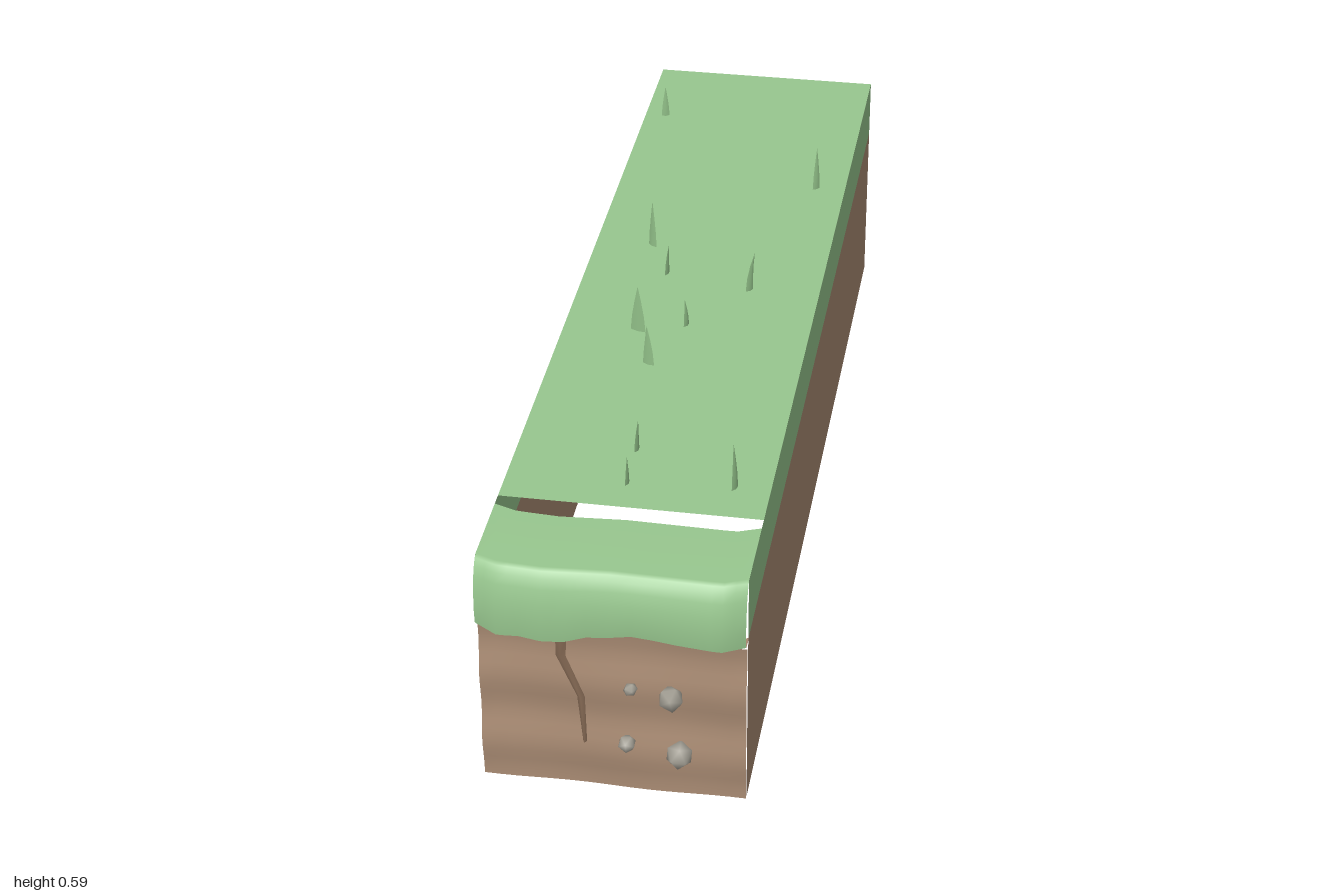
import * as THREE from 'three';
import { mergeVertices } from 'three/addons/utils/BufferGeometryUtils.js';

const W = 0.486, TOP = 0.488, SEAM = 0.362;

const mat = (name, color) => {
  const m = new THREE.MeshStandardMaterial({ color, side: THREE.DoubleSide });
  m.name = name;
  return m;
};

// Piecewise linear lookup in [x, value] pairs
const sample = (pts, x) => {
  for (let i = 1; i < pts.length; i++) {
    const [x0, a] = pts[i - 1], [x1, b] = pts[i];
    if (x <= x1) return a + (b - a) * (x - x0) / (x1 - x0);
  }
  return pts[pts.length - 1][1];
};

// Grid sheet whose vertices are placed by rule(column, row) -> [x, y, z]
function sheet(cols, rows, rule) {
  const g = new THREE.PlaneGeometry(1, 1, cols, rows);
  for (let r = 0; r <= rows; r++)
    for (let c = 0; c <= cols; c++)
      g.attributes.position.setXYZ(r * (cols + 1) + c, ...rule(c, r));
  g.computeVertexNormals();
  return g;
}

export function createModel() {
  const grass = mat('grass green', 0x98c78f);
  const bladeGreen = mat('blade green', 0x90be87);
  const dirt = mat('dirt brown', 0xaa8c74);
  const crackBrown = mat('crack brown', 0x836853);
  const stone = mat('stone grey', 0xa6a297);

  const model = new THREE.Group();
  const add = (name, geometry, material, parent = model) => {
    const m = new THREE.Mesh(geometry, material);
    m.name = name;
    parent.add(m);
    return m;
  };

  // Flat lawn, open behind the front lip
  add('lawn', new THREE.PlaneGeometry(W, 1.765).rotateX(-Math.PI / 2)
    .translate(0, TOP, (0.765 - 1) / 2), grass);

  // Side walls: dirt below, grass band above
  for (const [side, s] of [['left', 1], ['right', -1]]) {
    const wall = (name, y0, y1, m) => add(side + name,
      new THREE.PlaneGeometry(1.95, y1 - y0).rotateY(s * Math.PI / 2)
        .translate(s * W / 2, (y0 + y1) / 2, -0.025), m);
    wall('DirtWall', 0, SEAM, dirt);
    wall('GrassBand', SEAM, TOP, grass);
  }

  // Gently rippled dirt face at the front
  const faceZ = (x, y) => 0.96 + 0.004 * Math.sin(y * 42 - 2) + 0.002 * Math.sin(x * 22 + y * 9);
  add('dirtFace', sheet(16, 16, (c, r) => {
    const x = (c / 16 - 0.5) * W, y = 0.347 * (1 - r / 16);
    return [x, y, faceZ(x, y)];
  }), dirt);

  // Overhanging grass lip with a ragged lower edge
  const edge = [[-0.243, 0.358], [-0.2, 0.347], [-0.16, 0.352], [-0.125, 0.347], [-0.08, 0.348],
    [-0.04, 0.361], [0, 0.363], [0.04, 0.371], [0.08, 0.368], [0.12, 0.363], [0.2, 0.357], [0.243, 0.361]];
  const push = [[-0.243, -0.019], [-0.2, -0.003], [-0.12, 0.002], [0, -0.006], [0.1, -0.004],
    [0.2, -0.002], [0.243, -0.019]];
  // Profile: [z, height as a fraction from lower edge to top]
  const lip = [[0.81, 1], [0.964, 1], [0.972, 0.97], [0.98, 0.89], [0.988, 0.76], [0.994, 0.55],
    [0.998, 0.28], [0.994, 0]];
  const cols = 24;
  const lipX = c => (c / cols - 0.5) * W;
  add('grassLip', sheet(cols, lip.length - 1, (c, r) => {
    const x = lipX(c), y = sample(edge, x);
    return [x, y + (TOP - y) * lip[r][1], lip[r][0] + sample(push, x)];
  }), grass);

  // Soil rim tucked under the lip
  add('lipUnderside', sheet(cols, 1, (c, r) => {
    const x = lipX(c);
    return [x, sample(edge, x) - 0.005 * r, 0.994 - 0.036 * r + sample(push, x)];
  }), dirt);

  // Ridged crack in the dirt: [left, middle, right, y]
  const crack = [[-0.1, -0.091, -0.08, 0.337], [-0.1, -0.091, -0.082, 0.298],
    [-0.063, -0.056, -0.049, 0.21], [-0.054, -0.051, -0.047, 0.108]];
  add('crack', sheet(2, 3, (c, r) => {
    const x = crack[r][c], y = crack[r][3];
    return [x, y, 0.968 + (c === 1 ? 0.006 : 0)];
  }), crackBrown);

  // Stones set into the dirt: [x, y, radius, turn]
  const stones = new THREE.Group();
  stones.name = 'stones';
  model.add(stones);
  for (const [x, y, r, turn] of [[0.035, 0.24, 0.014, 0.3], [0.108, 0.228, 0.027, 0.9],
    [0.027, 0.115, 0.019, 1.6], [0.123, 0.101, 0.029, 2.3]]) {
    let g = new THREE.IcosahedronGeometry(r, 0);
    g.deleteAttribute('normal');
    g.deleteAttribute('uv');
    g = mergeVertices(g);
    g.computeVertexNormals();
    const m = add('stone', g, stone, stones);
    m.position.set(x, y, 0.972);
    m.rotation.set(turn, turn * 2, turn);
    m.scale.set(1, 0.9, 0.9);
  }

  // Folded grass blades: [x, z, height, width, yaw, lean]
  const blades = new THREE.Group();
  blades.name = 'grassBlades';
  model.add(blades);
  const tufts = [[-0.198, -0.77, 0.07, 0.018, 0.3, 0], [0.181, -0.48, 0.097, 0.018, 0.7, 0],
    [-0.124, -0.18, 0.102, 0.022, -0.6, 0], [-0.075, -0.07, 0.067, 0.018, 1.2, 0.004],
    [0.101, -0.03, 0.087, 0.019, 0.8, 0.01], [-0.003, 0.125, 0.057, 0.018, 1.1, -0.003],
    [-0.094, 0.16, 0.099, 0.033, -0.3, 0], [-0.052, 0.28, 0.085, 0.025, -0.35, -0.003],
    [-0.021, 0.58, 0.067, 0.018, 1.2, 0.003], [-0.019, 0.69, 0.057, 0.018, 1.3, 0],
    [0.177, 0.675, 0.095, 0.02, 1.1, -0.003]];
  for (const [x, z, h, w, yaw, lean] of tufts) {
    const taper = [0.03, 0.45, 0.8, 1];
    const g = sheet(2, 3, (c, r) => {
      const t = 1 - r / 3, half = w / 2 * taper[r] * (c - 1);
      const fold = c === 1 ? 0.003 * taper[r] : 0;
      return [half * Math.cos(yaw) + fold * Math.sin(yaw) + lean * t * t, h * t,
        fold * Math.cos(yaw) - half * Math.sin(yaw)];
    });
    add('grassBlade', g, bladeGreen, blades).position.set(x, TOP, z);
  }
  return model;
}
